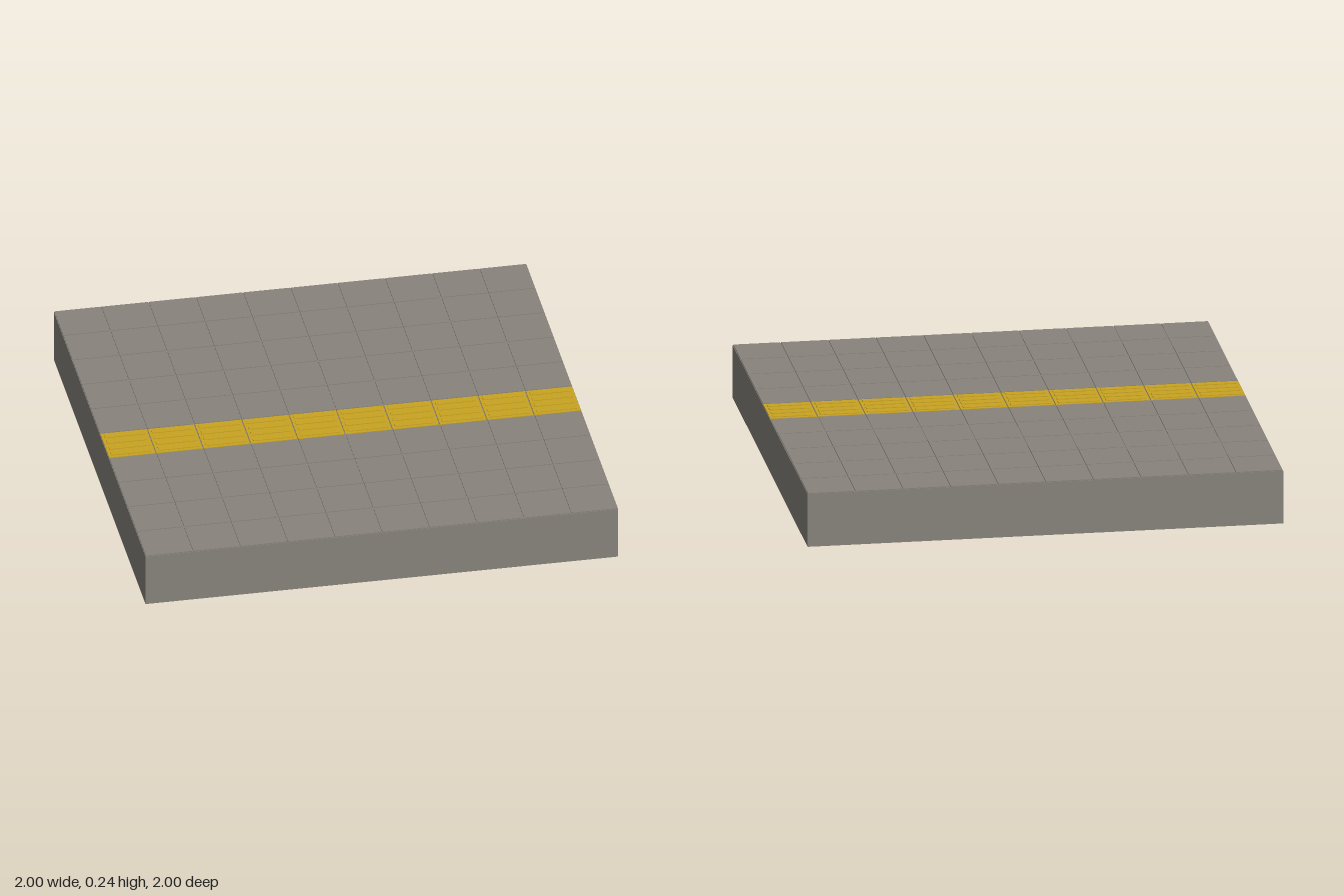
import * as THREE from 'three';

const COUNT = 10;      // paving tiles per side
const PITCH = 0.2;     // tile spacing
const GAP = 0.005;     // joint between tiles
const BODY_TOP = 0.23;
const TILE_TOP = 0.234;
const BAR_TOP = 0.237;

export function createModel() {
  const stone = new THREE.MeshStandardMaterial({ color: 0x88847c });
  stone.name = 'stone grey';
  stone.side = THREE.DoubleSide;
  const yellow = new THREE.MeshStandardMaterial({ color: 0xc9a422 });
  yellow.name = 'tactile yellow';

  const model = new THREE.Group();
  model.name = 'pavingSlab';

  const add = (parent, name, geometry, material, x, y, z) => {
    const mesh = new THREE.Mesh(geometry, material);
    mesh.name = name;
    mesh.position.set(x, y, z);
    parent.add(mesh);
  };

  // Hollow base: a box whose underside (fourth face) is left open
  const shell = new THREE.BoxGeometry(2, BODY_TOP, 2);
  const index = Array.from(shell.index.array);
  index.splice(18, 6);
  shell.setIndex(index);
  shell.clearGroups();
  add(model, 'hollowBase', shell, stone, 0, BODY_TOP / 2, 0);

  // Shared tile and guide bar shapes
  const size = PITCH - GAP;
  const tileHeight = TILE_TOP - BODY_TOP;
  const tile = new THREE.BoxGeometry(size, tileHeight, size);
  const barHeight = BAR_TOP - TILE_TOP;
  const bar = new THREE.BoxGeometry(0.17, barHeight, 0.025);

  const paving = new THREE.Group();
  paving.name = 'pavingTiles';
  const guide = new THREE.Group();
  guide.name = 'tactileStrip';
  model.add(paving, guide);

  for (let row = 0; row < COUNT; row++) {
    const z = -1 + (row + 0.5) * PITCH;
    const tactile = row === COUNT / 2;
    for (let col = 0; col < COUNT; col++) {
      const x = -1 + (col + 0.5) * PITCH;
      const y = BODY_TOP + tileHeight / 2;
      if (!tactile) {
        add(paving, 'pavingTile', tile, stone, x, y, z);
        continue;
      }
      // Yellow tile with four raised bars running along the strip
      add(guide, 'tactileTile', tile, yellow, x, y, z);
      for (let i = 0; i < 4; i++) {
        add(guide, 'guideBar', bar, yellow, x, TILE_TOP + barHeight / 2, z + (i - 1.5) * 0.047);
      }
    }
  }
  return model;
}
